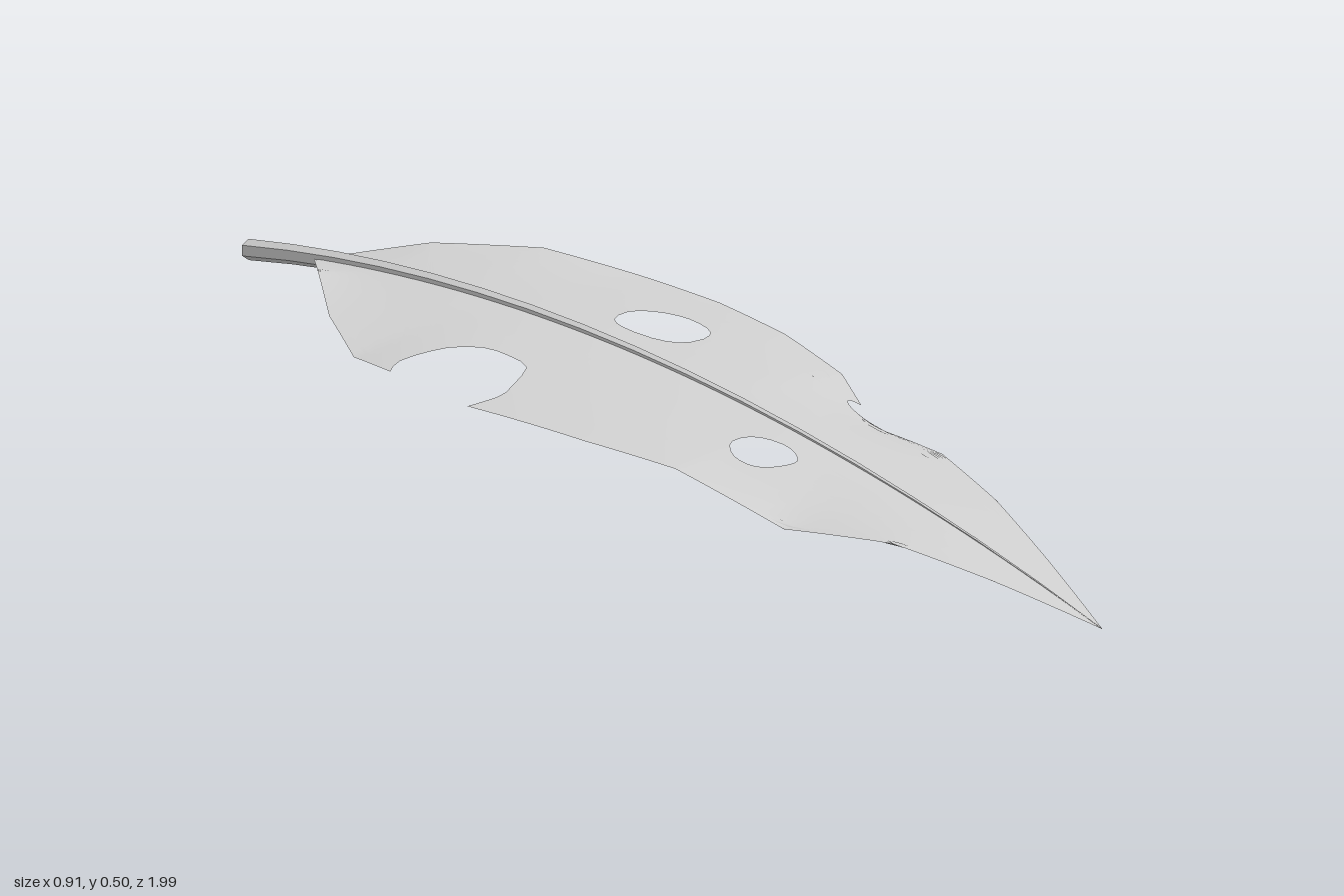
import * as THREE from 'three';
import { mergeVertices } from 'three/addons/utils/BufferGeometryUtils.js';

// Height of the arched midrib at depth z
const arch = (z) => 0.475 - 0.133 * (z + 0.9) ** 2;

// Blade edges from stem to tip: [z, half width, lift of the edge above the midrib]
const leftEdge = [ // +x
  [-0.8, 0.02, 0], [-0.65, 0.165, 0.033], [-0.48, 0.316, 0.035], [-0.31, 0.412, 0.006],
  [-0.14, 0.452, -0.008], [0.03, 0.44, -0.015], [0.19, 0.4, -0.027], [0.26, 0.362, -0.053],
  [0.327, 0.335, -0.068], [0.5, 0.27, -0.02], [0.67, 0.183, -0.002], [0.83, 0.093, 0], [0.99, 0.001, 0],
];
const rightEdge = [ // -x
  [-0.8, 0.02, 0], [-0.65, 0.17, 0.018], [-0.48, 0.322, -0.02], [-0.33, 0.42, -0.048],
  [-0.215, 0.45, -0.038], [-0.03, 0.456, -0.04], [0.19, 0.4, -0.027], [0.34, 0.34, -0.02],
  [0.515, 0.264, -0.054], [0.68, 0.177, -0.006], [0.83, 0.093, 0], [0.99, 0.001, 0],
];

// Bites out of the edges and holes in the blade, as [x, z]
const leftBite = [[0.362, 0.26], [0.327, 0.253], [0.306, 0.275], [0.306, 0.306], [0.335, 0.327]];
const rightBite = [
  [-0.45, -0.215], [-0.405, -0.237], [-0.34, -0.23], [-0.28, -0.21], [-0.237, -0.17], [-0.232, -0.12],
  [-0.243, -0.07], [-0.306, -0.04], [-0.375, -0.018], [-0.415, -0.022], [-0.456, -0.03],
];
const holes = [
  [[0.1, -0.115], [0.127, -0.153], [0.206, -0.169], [0.26, -0.14], [0.285, -0.095],
    [0.275, -0.04], [0.237, -0.01], [0.143, -0.005], [0.106, -0.04]],
  [[-0.2, 0.364], [-0.164, 0.332], [-0.1, 0.343], [-0.074, 0.39], [-0.095, 0.427],
    [-0.13, 0.427], [-0.19, 0.4]],
];

// Smooth line through [x, z] points, in shape space (x, -z)
function smoothLine(points, closed, divisions) {
  const curve = new THREE.CatmullRomCurve3(points.map(([x, z]) => new THREE.Vector3(x, -z, 0)), closed);
  const line = curve.getPoints(divisions).map((p) => new THREE.Vector2(p.x, p.y));
  if (closed) line.pop();
  return line;
}

// One side's outline with its bite replacing the edge between the bite's ends
function sideOutline(edge, sign, bite) {
  const start = bite[0][1], end = bite[bite.length - 1][1];
  const toPoint = ([z, w]) => new THREE.Vector2(sign * w, -z);
  return [
    ...edge.filter(([z]) => z < start).map(toPoint),
    ...smoothLine(bite, false, 18),
    ...edge.filter(([z]) => z > end).map(toPoint),
  ];
}

// Blade height: the arch plus a lift that grows towards the edge
function bladeHeight(x, z) {
  const edge = x > 0 ? leftEdge : rightEdge;
  let i = 0;
  while (i < edge.length - 2 && z > edge[i + 1][0]) i++;
  const [a, b] = [edge[i], edge[i + 1]];
  const t = THREE.MathUtils.clamp((z - a[0]) / (b[0] - a[0]), 0, 1);
  const width = THREE.MathUtils.lerp(a[1], b[1], t);
  const lift = THREE.MathUtils.lerp(a[2], b[2], t);
  return arch(z) + lift * Math.min(1, Math.abs(x) / width) ** 1.8;
}

// Split every triangle into four so the flat sheet can bend
function subdivide(geometry, levels) {
  let tris = Array.from(geometry.toNonIndexed().getAttribute('position').array);
  for (let level = 0; level < levels; level++) {
    const next = [];
    for (let i = 0; i < tris.length; i += 9) {
      const [a, b, c] = [0, 3, 6].map((k) => tris.slice(i + k, i + k + 3));
      const mid = (p, q) => p.map((v, k) => (v + q[k]) / 2);
      const ab = mid(a, b), bc = mid(b, c), ca = mid(c, a);
      next.push(...a, ...ab, ...ca, ...ab, ...b, ...bc, ...ca, ...bc, ...c, ...ab, ...bc, ...ca);
    }
    tris = next;
  }
  const result = new THREE.BufferGeometry();
  result.setAttribute('position', new THREE.Float32BufferAttribute(tris, 3));
  return result;
}

function createBlade() {
  const shape = new THREE.Shape([
    ...sideOutline(rightEdge, -1, rightBite),
    ...sideOutline(leftEdge, 1, leftBite).reverse(),
  ]);
  for (const hole of holes) shape.holes.push(new THREE.Path(smoothLine(hole, true, 20)));
  const sheet = subdivide(new THREE.ShapeGeometry(shape), 4);
  const pos = sheet.getAttribute('position');
  for (let i = 0; i < pos.count; i++) {
    const x = pos.getX(i), z = -pos.getY(i);
    pos.setXYZ(i, x, bladeHeight(x, z), z);
  }
  const geometry = mergeVertices(sheet, 1e-5);
  geometry.computeVertexNormals();
  const blade = new THREE.Mesh(geometry, new THREE.MeshStandardMaterial({ color: 0xcccccc, side: THREE.DoubleSide }));
  blade.name = 'leafBlade';
  return blade;
}

// Six-sided stem, tapering along the arch to the leaf tip
function createStem() {
  const geometry = new THREE.CylinderGeometry(0.022, 0.001, 1.99, 6, 16);
  geometry.rotateX(-Math.PI / 2).translate(0, 0, -0.005);
  const pos = geometry.getAttribute('position');
  for (let i = 0; i < pos.count; i++) pos.setY(i, pos.getY(i) + arch(pos.getZ(i)));
  geometry.computeVertexNormals();
  const stem = new THREE.Mesh(geometry, new THREE.MeshStandardMaterial({ color: 0xcccccc, flatShading: true }));
  stem.name = 'stem';
  return stem;
}

export function createModel() {
  const leaf = new THREE.Group();
  leaf.name = 'leaf';
  leaf.add(createBlade(), createStem());
  return leaf;
}
